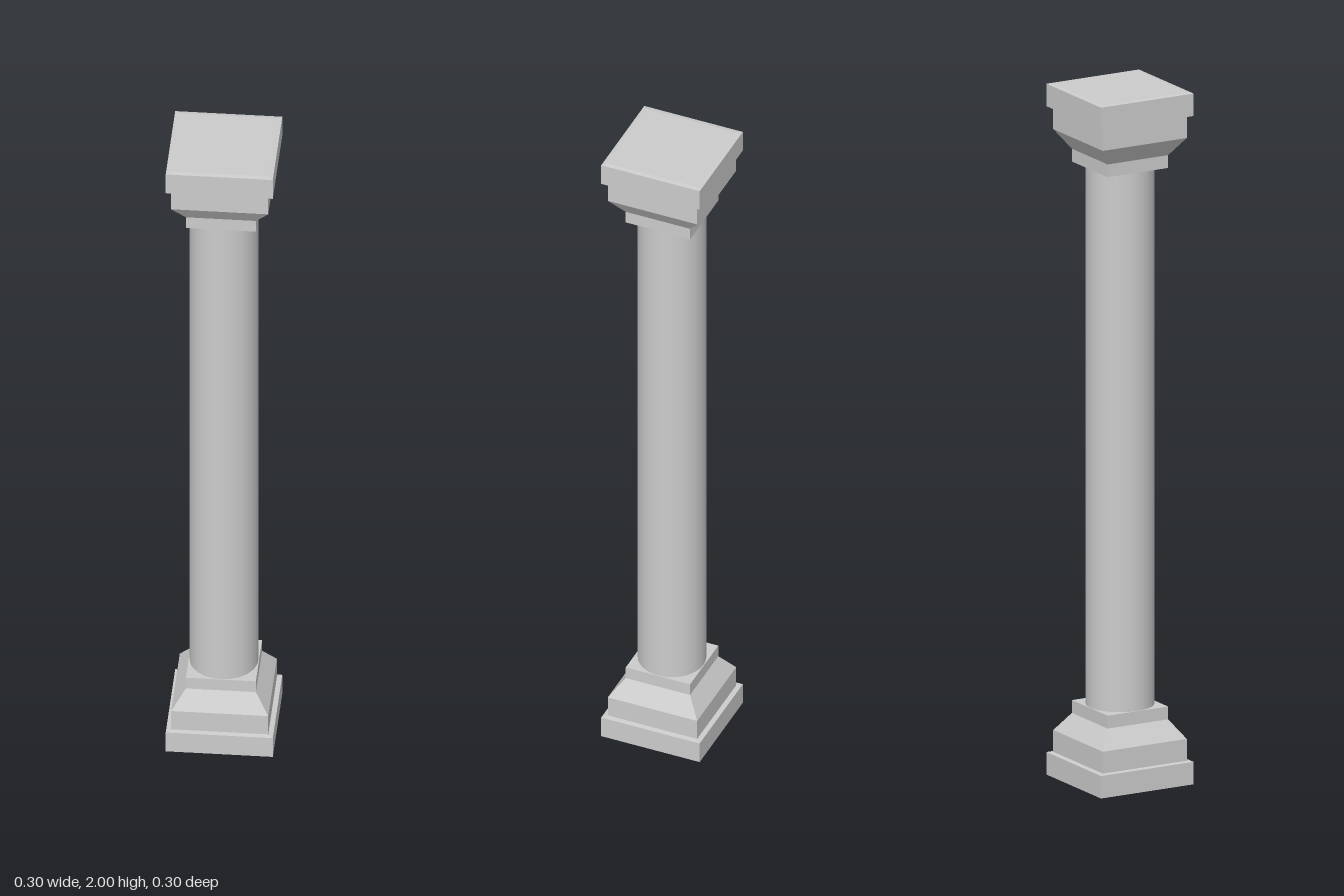
import * as THREE from 'three';

const flat = new THREE.MeshStandardMaterial({ color: 0xcccccc, flatShading: true });
const smooth = new THREE.MeshStandardMaterial({ color: 0xcccccc });

// Square moulding from [half width, height] points, listed bottom to top
function squareMoulding(name, profile) {
  const points = profile.map(([w, y]) => new THREE.Vector2(w * Math.SQRT2, y));
  const mesh = new THREE.Mesh(new THREE.LatheGeometry(points, 4, Math.PI / 4), flat);
  mesh.name = name;
  return mesh;
}

// Stepped square block: slab, riser, sloped shoulder and neck
function createPedestal(name) {
  const group = new THREE.Group();
  group.name = name;
  group.add(
    squareMoulding('slab', [[0, 0], [0.1375, 0], [0.15, 0.002], [0.15, 0.067], [0.136, 0.069]]),
    squareMoulding('shoulder', [[0.136, 0.069], [0.136, 0.132], [0.098, 0.185]]),
    squareMoulding('neck', [[0.098, 0.185], [0.098, 0.222], [0, 0.222]])
  );
  return group;
}

export function createModel() {
  const model = new THREE.Group();
  model.name = 'column';

  const base = createPedestal('base');

  // The capital is the base turned upside down
  const capital = createPedestal('capital');
  capital.rotation.z = Math.PI;
  capital.position.y = 2;

  // Round shaft between the two necks
  const shaft = new THREE.Mesh(new THREE.CylinderGeometry(0.096, 0.096, 1.556, 32, 1, true), smooth);
  shaft.name = 'shaft';
  shaft.position.y = 1;

  model.add(base, shaft, capital);
  return model;
}
